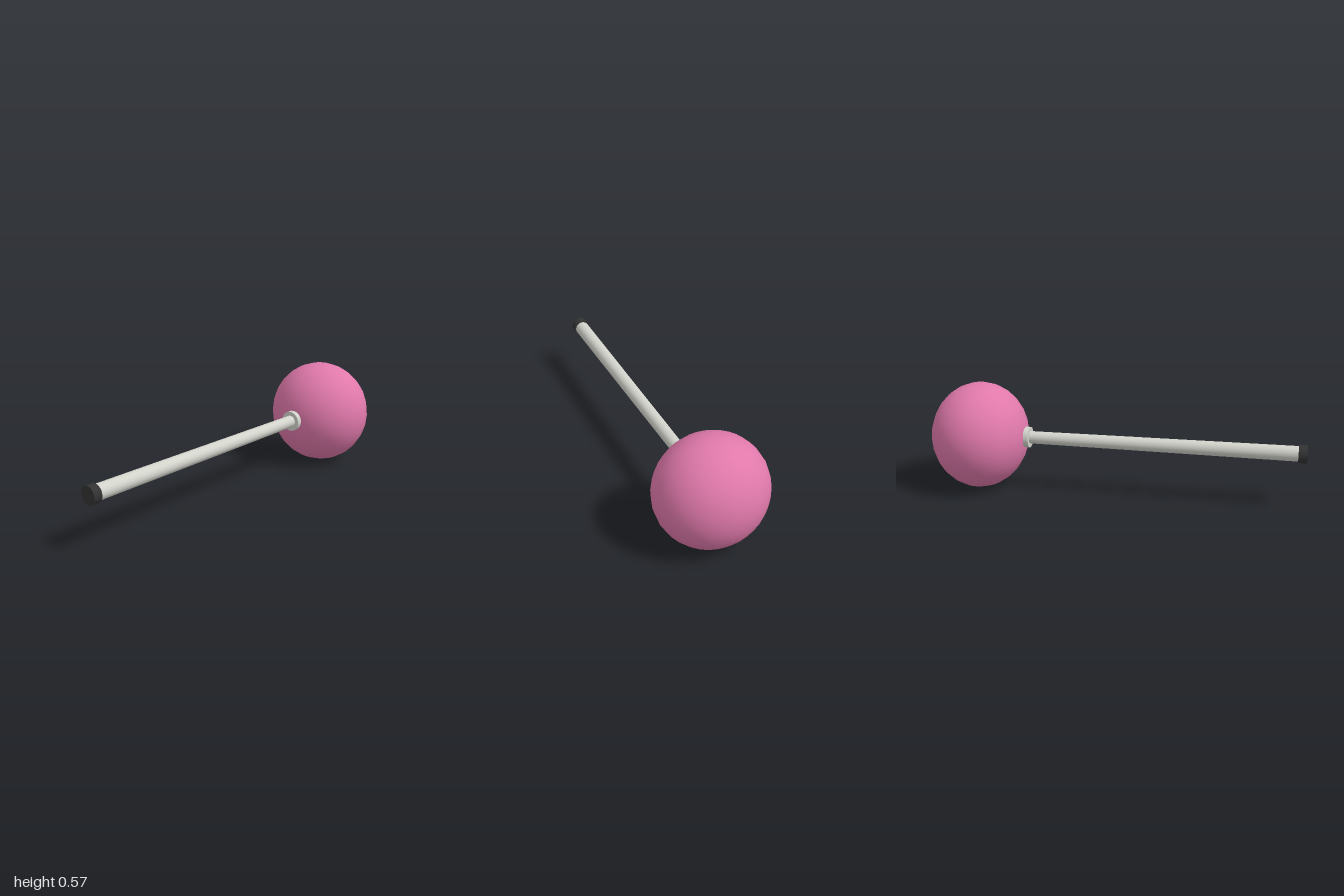
import * as THREE from 'three';

export function createModel() {
  const group = new THREE.Group();
  const axisY = 0.286;
  const mat = (name, color) => {
    const m = new THREE.MeshStandardMaterial({ color });
    m.name = name;
    return m;
  };
  const pink = mat('pink', 0xe079ab);
  const metal = mat('pale metal', 0xd2d3cb);
  const black = mat('black rubber', 0x333333);

  // Round part lying along z, from zBack to zFront
  const rod = (name, material, rFront, rBack, zBack, zFront) => {
    const geo = new THREE.CylinderGeometry(rFront, rBack, zFront - zBack, 24);
    geo.rotateX(Math.PI / 2);
    const mesh = new THREE.Mesh(geo, material);
    mesh.name = name;
    mesh.position.set(0, axisY, (zFront + zBack) / 2);
    group.add(mesh);
  };

  // Slightly flattened ball head
  const head = new THREE.Mesh(new THREE.SphereGeometry(axisY, 28, 14), pink);
  head.name = 'ballHead';
  head.scale.z = 0.26 / axisY;
  head.position.set(0, axisY, -0.74);
  group.add(head);

  // Collar, tapered shaft and end cap
  rod('collar', metal, 0.056, 0.056, -0.51, -0.46);
  rod('shaft', metal, 0.04, 0.033, -0.52, 0.96);
  rod('endCap', black, 0.047, 0.047, 0.955, 1);

  return group;
}
